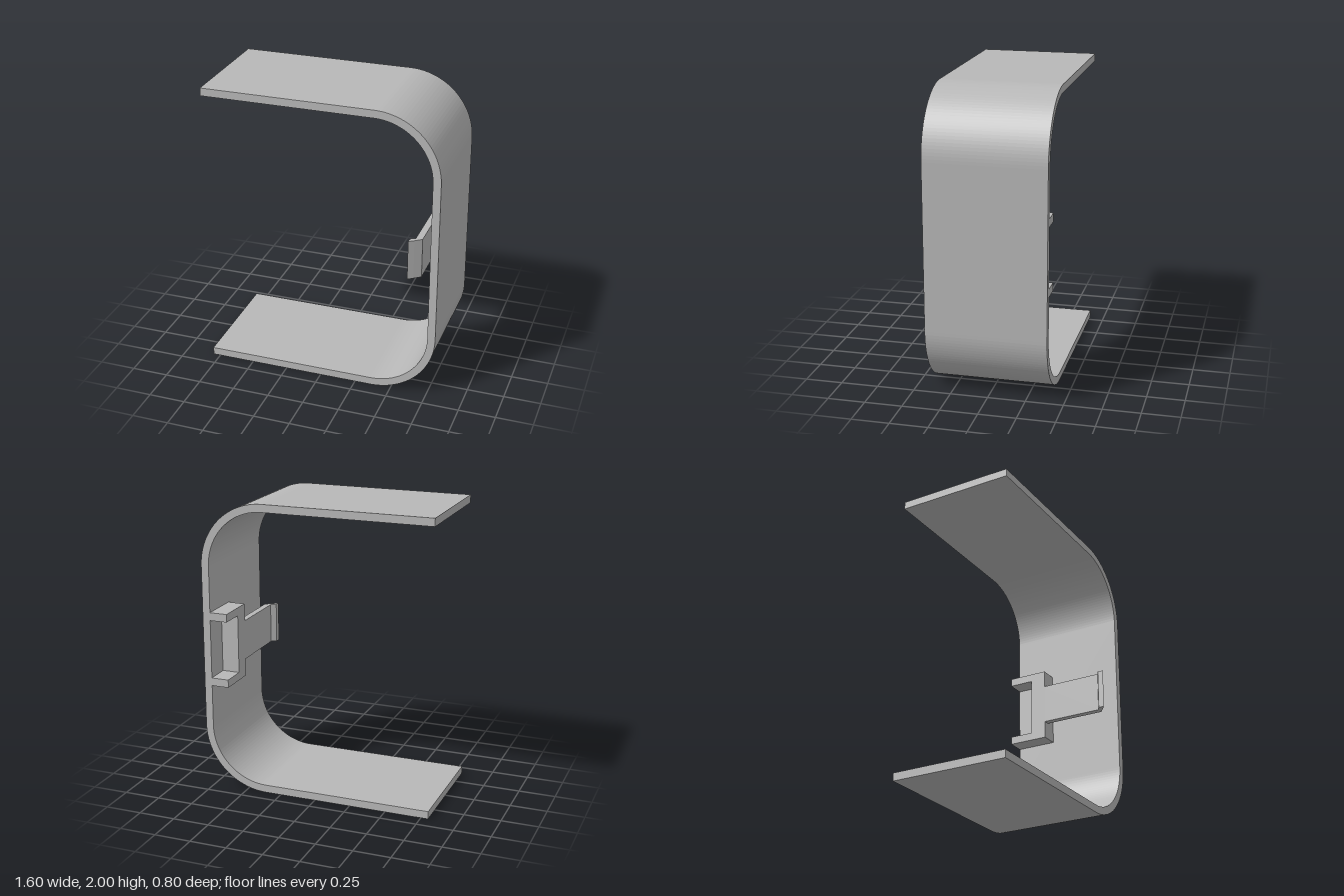
import * as THREE from 'three';

const grey = new THREE.MeshStandardMaterial({ color: 0xb8b8b8, flatShading: true });
grey.name = 'plain grey';

function addPart(group, name, geometry) {
  const mesh = new THREE.Mesh(geometry, grey);
  mesh.name = name;
  group.add(mesh);
}

// Box given by its lower and upper limits on each axis
function boxBetween([x0, x1], [y0, y1], [z0, z1]) {
  return new THREE.BoxGeometry(x1 - x0, y1 - y0, z1 - z0)
    .translate((x0 + x1) / 2, (y0 + y1) / 2, (z0 + z1) / 2);
}

// C-shaped strip: two flat arms joined to a wall by rounded corners
function bandGeometry() {
  const t = 0.053, r = 0.44, cx = 0.8 - r, half = Math.PI / 2;
  const s = new THREE.Shape();
  s.moveTo(-0.8, 0);
  s.lineTo(cx, 0);
  s.absarc(cx, r, r, -half, 0, false);
  s.lineTo(0.8, 2 - r);
  s.absarc(cx, 2 - r, r, 0, half, false);
  s.lineTo(-0.8, 2);
  s.lineTo(-0.8, 2 - t);
  s.lineTo(cx, 2 - t);
  s.absarc(cx, 2 - r, r - t, half, 0, true);
  s.lineTo(0.8 - t, r);
  s.absarc(cx, r, r - t, 0, -half, true);
  s.lineTo(-0.8, t);
  s.closePath();
  return new THREE.ExtrudeGeometry(s, { depth: 0.8, bevelEnabled: false, curveSegments: 16 })
    .translate(0, 0, -0.4);
}

// Tongue with a hooked tip, outlined in x and z and raised along y
function tongueGeometry() {
  const outline = [
    [0.67, -0.14], [0.67, 0.31], [0.625, 0.345], [0.59, 0.37],
    [0.59, 0.33], [0.625, 0.31], [0.625, -0.14],
  ];
  const s = new THREE.Shape(outline.map(([x, z]) => new THREE.Vector2(x, -z)));
  return new THREE.ExtrudeGeometry(s, { depth: 0.275, bevelEnabled: false })
    .rotateX(-Math.PI / 2).translate(0, 0.845, 0);
}

export function createModel() {
  const model = new THREE.Group();
  model.name = 'clipBracket';
  addPart(model, 'band', bandGeometry());

  // Catch on the inside of the wall
  const clip = new THREE.Group();
  clip.name = 'clip';
  const reach = [0.625, 0.75];
  addPart(clip, 'clipBlock', boxBetween(reach, [0.725, 1.24], [-0.23, -0.12]));
  addPart(clip, 'lowerTab', boxBetween(reach, [0.725, 0.78], [-0.4, -0.23]));
  addPart(clip, 'upperTab', boxBetween(reach, [1.185, 1.24], [-0.4, -0.23]));
  addPart(clip, 'hookedTongue', tongueGeometry());
  model.add(clip);
  return model;
}
